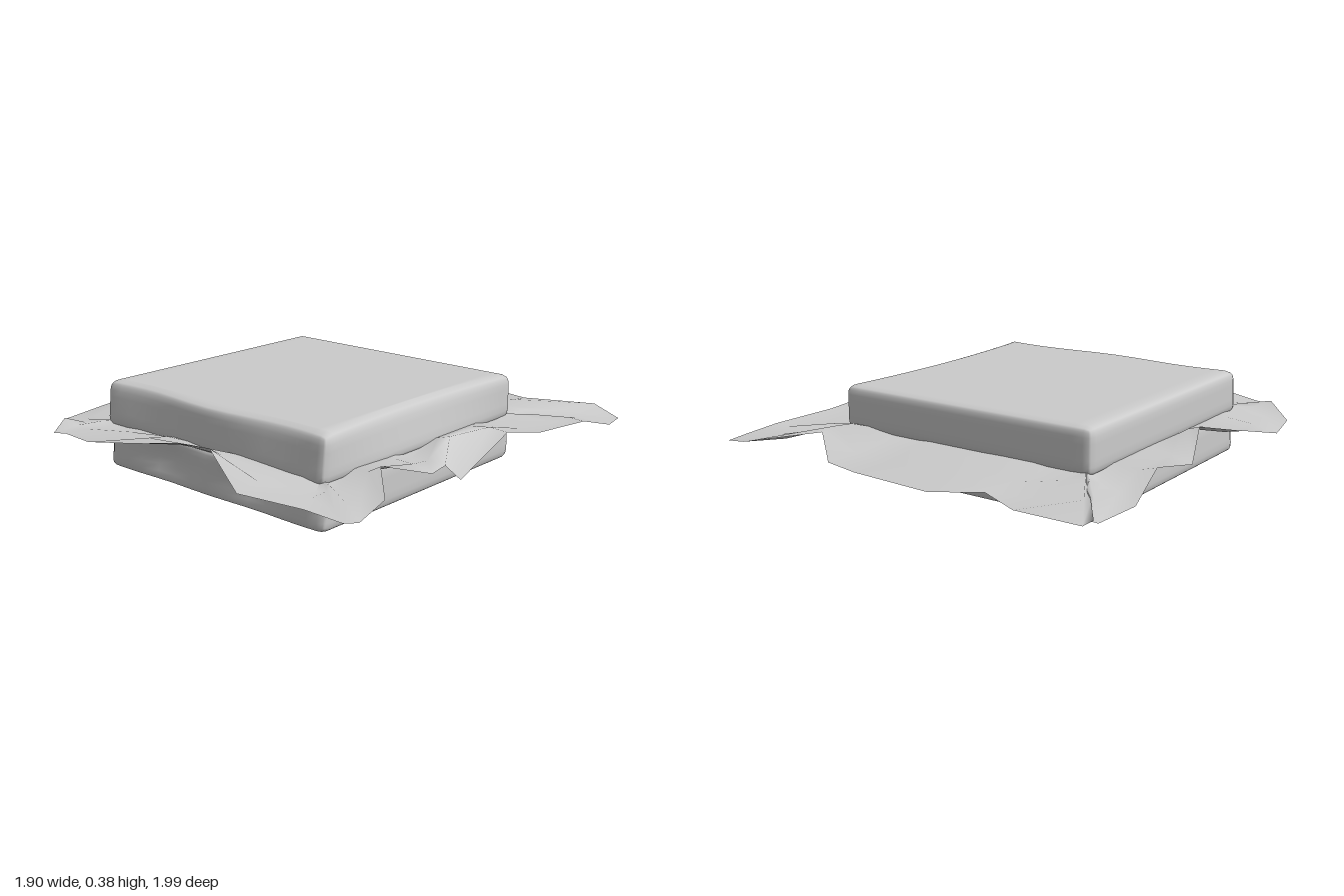
import * as THREE from 'three';
import { mergeVertices } from 'three/addons/utils/BufferGeometryUtils.js';

const material = () => new THREE.MeshStandardMaterial({ color: 0xcccccc, side: THREE.DoubleSide });
const CX = -0.03, CZ = 0.09, HALF = 0.63;

// Soft-edged square slab; dent(p) then presses its sides a little out of true.
function slice(name, y0, y1, dent) {
  const h = (y1 - y0) / 2, r = 0.04, half = new THREE.Vector3(HALF, h, HALF);
  let geo = new THREE.BoxGeometry(2, 2, 2, 18, 10, 18);
  geo.deleteAttribute('normal');
  geo.deleteAttribute('uv');
  geo = mergeVertices(geo);
  const pos = geo.attributes.position, p = new THREE.Vector3(), core = new THREE.Vector3();
  const inner = half.clone().subScalar(r), minus = inner.clone().negate();
  for (let i = 0; i < pos.count; i++) {
    p.fromBufferAttribute(pos, i);
    // crowd the grid towards the edges, then round them
    p.set(...p.toArray().map(v => Math.sin(v * Math.PI / 2))).multiply(half);
    core.copy(p).clamp(minus, inner);
    p.sub(core).setLength(r).add(core);
    dent(p, p.x / HALF, p.y / h, p.z / HALF);
    pos.setXYZ(i, p.x + CX, p.y + (y0 + y1) / 2, p.z + CZ);
  }
  geo.computeVertexNormals();
  const mesh = new THREE.Mesh(geo, material());
  mesh.name = name;
  return mesh;
}

// Leaf rim, clockwise from the back left corner: x, y, z
const RIM = [
  [-.92, .2, -1], [-.62, .19, -.98], [-.46, .21, -.93], [-.25, .19, -1], [.13, .19, -.98], [.33, .18, -.92],
  [.54, .23, -.74], [.78, .2, -.96], [.93, .17, -.91], [.95, .17, -.79], [.89, .2, -.67], [.85, .21, -.37],
  [.8, .24, -.2], [.72, .07, .01], [.79, .2, .22], [.81, .2, .33], [.72, .26, .53], [.87, .21, .69],
  [.91, .19, .88], [.89, .2, .94], [.72, .21, .95], [.43, .21, .99], [.13, .28, .84], [-.02, .28, .88],
  [-.22, .25, .94], [-.44, .22, .98], [-.66, .2, .93], [-.73, .19, .94], [-.77, .23, .85],
  [-.9, .18, .74], [-.95, .18, .51], [-.88, .22, .33], [-.76, .26, .15],
];
const RIM_LEFT = [
  [-.88, .19, -.14], [-.85, .23, -.37], [-.92, .17, -.65], [-.92, .18, -.9], [-.84, .19, -.915], [-.92, .2, -.93],
];

// Crumpled leaf: rings running from under the bread out to the ragged rim
function leaf() {
  const rim = [...RIM, ...RIM_LEFT], n = rim.length, steps = [0, 0.3, 0.65, 1];
  const verts = [], index = [];
  const clamp = THREE.MathUtils.clamp, lerp = THREE.MathUtils.lerp;
  steps.forEach((t, k) => rim.forEach(([x, y, z], i) => {
    const ix = clamp(x, CX - 0.58, CX + 0.58), iz = clamp(z, CZ - 0.58, CZ + 0.58);
    const hanging = y < 0.1;
    const wave = 0.02 * Math.sin(i * 2.1 + t * 3) * Math.sin(Math.PI * t);
    const height = hanging && t < 1 ? 0.21 + 0.05 * t : lerp(0.21, y, t) + wave;
    verts.push(lerp(ix, x, t), height, lerp(iz, z, t));
    if (k === 0) return;
    const a = k * n + i, b = k * n + (i + 1) % n;
    index.push(a, a - n, b, b, a - n, b - n);
  }));
  const geo = new THREE.BufferGeometry();
  geo.setAttribute('position', new THREE.Float32BufferAttribute(verts, 3));
  geo.setIndex(index);
  geo.computeVertexNormals();
  const mesh = new THREE.Mesh(geo, material());
  mesh.name = 'lettuceLeaf';
  return mesh;
}

export function createModel() {
  const group = new THREE.Group();
  group.name = 'sandwich';
  // Upper slice: right side leans in at the top, front edge softened
  group.add(slice('upperBread', 0.19, 0.39, (p, u, v, w) => {
    const top = (v + 1) / 2;
    if (u > 0.9) p.x -= 0.04 * top * (1 - w * w);
    if (w > 0.9) p.z -= 0.025 * top * (1 - 0.6 * Math.cos(u * 5));
  }));
  // Lower slice: shallow hollows along the front
  group.add(slice('lowerBread', 0.005, 0.21, (p, u, v, w) => {
    if (w > 0.9) p.z -= 0.04 * (1 - v * v) * Math.sin(u * 4) ** 2;
  }));
  group.add(leaf());
  return group;
}
